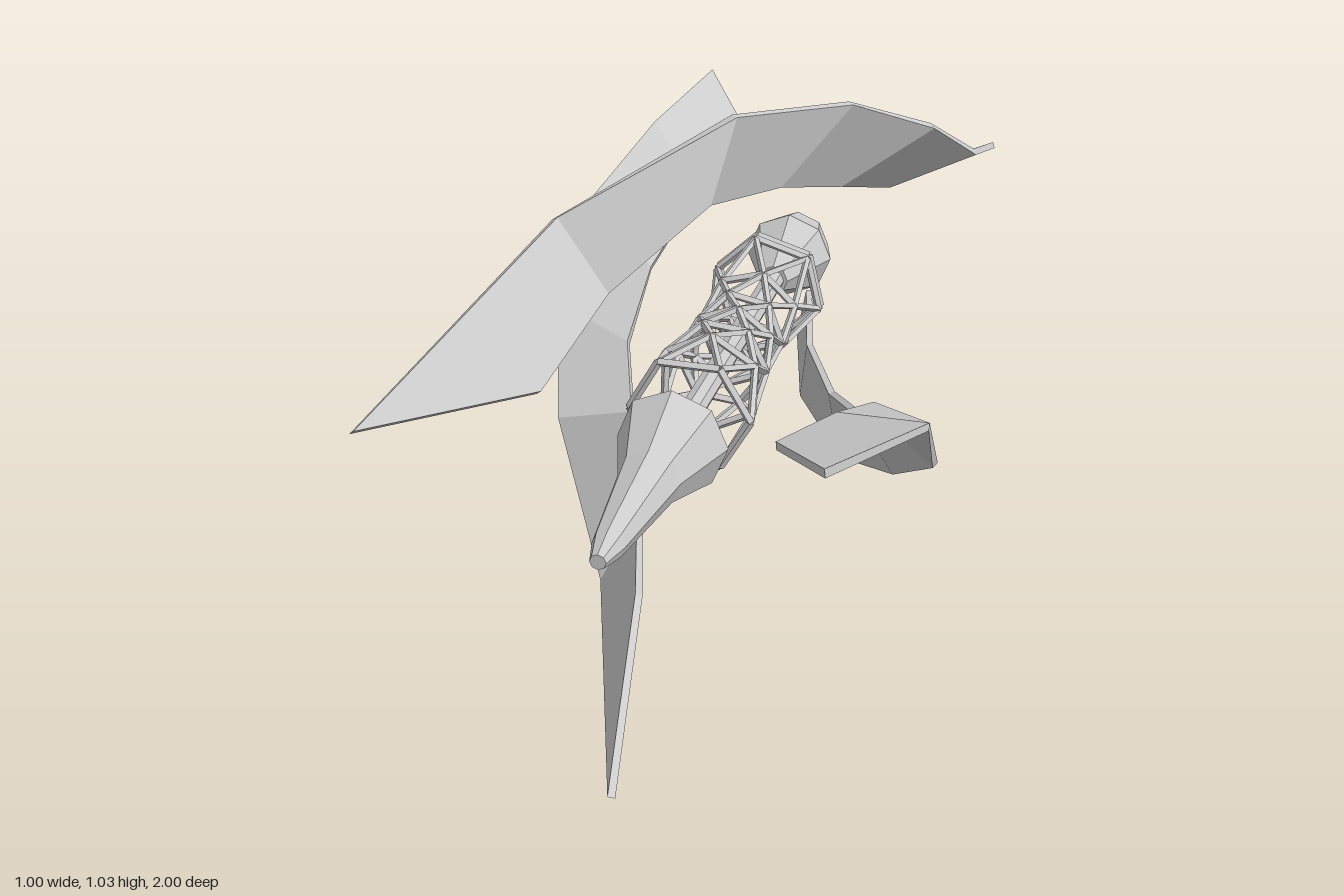
import * as THREE from 'three';

const material = new THREE.MeshStandardMaterial({ color: 0xcccccc, flatShading: true });
// Blades carry one normal per four-sided panel
const panelMaterial = new THREE.MeshStandardMaterial({ color: 0xcccccc, side: THREE.DoubleSide });
const rad = THREE.MathUtils.degToRad;

// Point around the spindle axis (z) from radius, angle in degrees and z
const polar = ([r, a, z]) => new THREE.Vector3(r * Math.cos(rad(a)), r * Math.sin(rad(a)), z);

function addMesh(parent, geometry, name, mat = material) {
  const mesh = new THREE.Mesh(geometry, mat);
  mesh.name = name;
  parent.add(mesh);
}

// Straight rod between two points
function addRod(parent, a, b, radius, name, sides = 4) {
  const dir = b.clone().sub(a);
  const length = dir.length();
  const turn = new THREE.Quaternion().setFromUnitVectors(new THREE.Vector3(0, 1, 0), dir.normalize());
  const middle = a.clone().add(b).multiplyScalar(0.5);
  const geometry = new THREE.CylinderGeometry(radius, radius, length, sides);
  addMesh(parent, geometry.applyQuaternion(turn).translate(middle.x, middle.y, middle.z), name);
}

// Thin twisted ribbon: rectangular sections swept between outer and inner edges
function bladeGeometry(outer, inner, half) {
  const P = outer.map(polar), Q = inner.map(polar);
  const mid = P.map((p, i) => p.clone().add(Q[i]).multiplyScalar(0.5));
  const last = P.length - 1;
  const sections = P.map((p, i) => {
    const along = mid[Math.min(i + 1, last)].clone().sub(mid[Math.max(i - 1, 0)]);
    const n = Q[i].clone().sub(p).cross(along).setLength(half);
    return [p.clone().add(n), Q[i].clone().add(n), Q[i].clone().sub(n), p.clone().sub(n)];
  });
  const points = [], normals = [];
  const quad = (a, b, c, d) => {
    const n = c.clone().sub(a).cross(d.clone().sub(b)).normalize();
    points.push(a, b, c, a, c, d);
    for (let j = 0; j < 6; j++) normals.push(n.x, n.y, n.z);
  };
  for (let i = 0; i < last; i++) {
    const [a, b, c, d] = sections[i], [e, f, g, h] = sections[i + 1];
    // Both broad faces fold along the same diagonal, so they never cross
    quad(a, b, f, e);
    quad(d, h, g, c);
    quad(b, c, g, f);
    quad(d, a, e, h);
  }
  quad(...sections[0].slice().reverse());
  quad(...sections[last]);
  const geometry = new THREE.BufferGeometry().setFromPoints(points);
  geometry.setAttribute('normal', new THREE.Float32BufferAttribute(normals, 3));
  return geometry;
}

// Eight-sided pod from [radius, z] pairs, ordered from back to front
function podGeometry(profile) {
  const points = profile.map(([r, z]) => new THREE.Vector2(r, z));
  return new THREE.LatheGeometry(points, 8).rotateX(Math.PI / 2);
}

export function createModel() {
  const model = new THREE.Group();
  const body = new THREE.Group();
  body.name = 'body';
  body.position.set(0.005, 0.505, 0);
  model.add(body);

  // Three spiral blades: [radius, angle, z] along the outer and inner edges
  const outer = [[0.49, 153, 0.997], [0.49, 124.5, 0.37], [0.522, 90.5, 0], [0.534, 68, -0.23],
    [0.53, 48, -0.42], [0.487, 30, -0.69], [0.46, 20, -0.997]];
  const inner = [[0.27, 144, 0.65], [0.302, 126, 0.36], [0.33, 100, 0.02], [0.33, 79, -0.13],
    [0.313, 59, -0.32], [0.287, 37.5, -0.59], [0.265, 23.5, -0.88]];
  const blade = bladeGeometry(outer, inner, 0.008);
  // Each blade bulges sideways by a slightly different amount
  [1, 0.96, 1.015].forEach((bulge, i) => {
    const turned = blade.clone().rotateZ(i * Math.PI * 2 / 3).scale(bulge, 1, 1);
    addMesh(body, turned, 'spiralBlade', panelMaterial);
  });

  // Pods at both ends of the shaft
  addMesh(body, podGeometry([[0, 0.42], [0.035, 0.42], [0.116, 0.495], [0.064, 0.65],
    [0.032, 0.895], [0.016, 0.955], [0, 0.955]]), 'frontPod');
  addMesh(body, podGeometry([[0, -0.67], [0.012, -0.67], [0.078, -0.595], [0.106, -0.5],
    [0.035, -0.34], [0, -0.34]]), 'rearPod');

  // Central shaft
  addRod(body, new THREE.Vector3(0, 0, -0.36), new THREE.Vector3(0, 0, 0.44), 0.026, 'shaft', 8);

  // Hexagonal lattice cage around the shaft: rings of [radius, z], each twisted on
  const cage = new THREE.Group();
  cage.name = 'latticeCage';
  body.add(cage);
  const rings = [[0.13, 0.375], [0.113, 0.225], [0.1, 0.125], [0.095, 0.04],
    [0.095, -0.04], [0.102, -0.145], [0.13, -0.285]];
  const twist = 27.2;
  const corner = (i, k) => polar([rings[i][0], i * twist + k * 60, rings[i][1]]);
  const end = rings.length - 1;
  const endRing = (k) => corner(end, k).setZ(-0.306);
  for (let k = 0; k < 6; k++) {
    for (let i = 0; i <= end; i++) {
      addRod(cage, corner(i, k), corner(i, k + 1), 0.009, 'ringBar');
      if (i === end) continue;
      addRod(cage, corner(i, k), corner(i + 1, k), 0.008, 'zigzagBar');
      addRod(cage, corner(i, k), corner(i + 1, k - 1), 0.008, 'zigzagBar');
    }
    addRod(cage, endRing(k), endRing(k + 1), 0.009, 'endRingBar');
  }

  return model;
}
